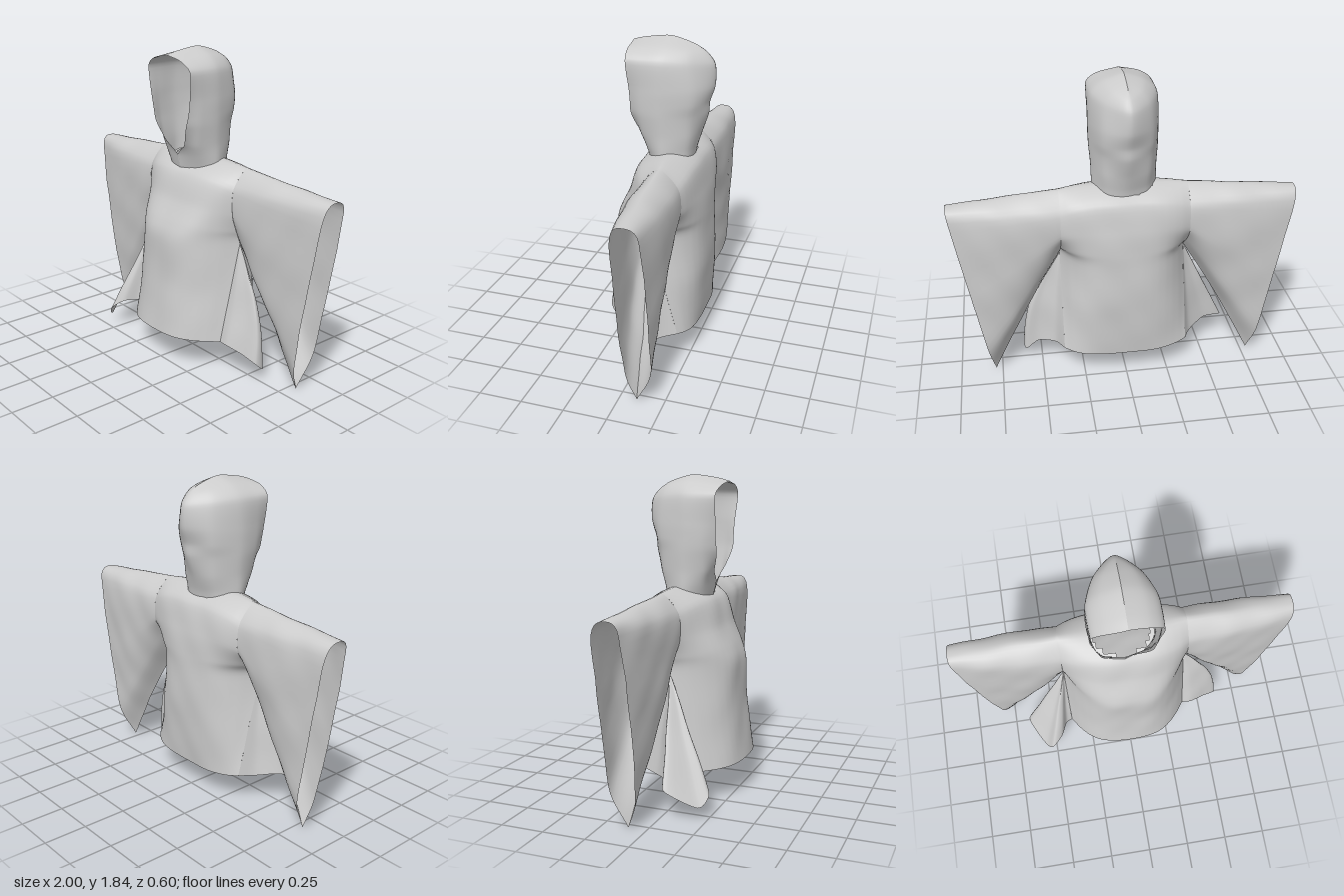
import * as THREE from 'three';

const V = (x, y, z) => new THREE.Vector3(x, y, z);
const cloth = new THREE.MeshStandardMaterial({ color: 0xcccccc, side: THREE.DoubleSide });

// Gentle wrinkles, a function of position
function wrinkle(p, amount) {
  const f = Math.sin(p.x * 13 + p.y * 8) * Math.sin(p.y * 11 - p.x * 5 + 1) + 0.4 * Math.sin(p.x * 27 - p.y * 19);
  p.z += f * amount;
  return p;
}

// Smooth open sheet through rows of control points; cut(p) leaves out faces
function loft(name, rows, { across = 8, down = 8, amount = 0.003, cut = null } = {}) {
  const nu = (rows[0].length - 1) * across;
  const nv = (rows.length - 1) * down;
  const smooth = (pts, n) => new THREE.CatmullRomCurve3(pts, false, 'catmullrom', 0.4).getPoints(n);
  const lines = rows.map((r) => smooth(r, nu));
  const pts = [];
  for (let i = 0; i <= nu; i++) {
    for (const p of smooth(lines.map((l) => l[i]), nv)) pts.push(wrinkle(p, amount));
  }
  const index = [];
  for (let i = 0; i < nu; i++) {
    for (let j = 0; j < nv; j++) {
      const a = i * (nv + 1) + j, b = a + nv + 1;
      const mid = pts[a].clone().add(pts[b + 1]).multiplyScalar(0.5);
      if (cut && cut(mid)) continue;
      index.push(a, b, a + 1, b, b + 1, a + 1);
    }
  }
  const g = new THREE.BufferGeometry().setFromPoints(pts);
  g.setIndex(index);
  g.computeVertexNormals();
  const mesh = new THREE.Mesh(g, cloth);
  mesh.name = name;
  return mesh;
}

// Profiles as [y, z], from the front hem over the shoulder to the back hem
const centre = [[0.21, 0.3], [0.5, 0.26], [0.77, 0.25], [0.87, 0.222], [0.99, 0.16], [1.15, 0.092], [1.22, -0.08],
  [1.15, -0.228], [0.99, -0.268], [0.86, -0.282], [0.77, -0.287], [0.5, -0.293], [0.17, -0.273]];
const side = [[0.2, 0.1], [0.5, 0.026], [0.77, -0.04], [0.85, -0.01], [0.95, 0.02], [1.1, 0.015], [1.205, -0.09],
  [1.1, -0.2], [0.95, -0.212], [0.85, -0.135], [0.77, -0.04], [0.5, -0.115], [0.19, -0.2]];
const cuff = [[0.01, -0.1], [0.2, -0.043], [0.6, -0.03], [1.08, -0.04], [1.15, -0.11],
  [1.08, -0.19], [0.6, -0.2], [0.2, -0.187], [0.01, -0.1]];
const SIDE_X = 0.37;

// Front and back of the body, one section per x
function body() {
  const rows = [];
  for (let i = -8; i <= 8; i++) {
    const a = Math.abs(i / 8);
    rows.push(centre.map(([y, z], k) => {
      const t = a ** (k < 7 ? 3 : 3.5);
      return V((i / 8) * SIDE_X, y + (side[k][0] - y) * t, z + (side[k][1] - z) * t);
    }));
  }
  const neck = (p) => p.y > 1.1 && ((p.x + 0.01) / 0.165) ** 2 + ((p.z + 0.06) / 0.125) ** 2 < 1;
  return loft('body', rows, { across: 6, down: 4, cut: neck });
}

// Wide sleeve, from the armhole to the slanted hanging cuff
function sleeve(s, name) {
  const hole = side.slice(2, 11);
  const rows = [];
  for (let i = 0; i <= 5; i++) {
    const t = i / 5;
    const arc = Math.sin(Math.PI * t);
    rows.push(hole.map(([y, z], k) => {
      const [cy, cz] = cuff[k];
      const cx = 0.79 + 0.21 * (cy - 0.01) / 1.14;
      const seam = k === 0 || k === 8;
      const puff = seam ? 0 : arc * 0.015 * Math.sign(4 - k);
      return V(s * (SIDE_X + (cx - SIDE_X) * t), y + (cy - y) * t + (seam ? 0.025 * arc : 0), z + (cz - z) * t + puff);
    }));
  }
  return loft(name, rows, { across: 6, down: 7, amount: 0.004 });
}

// Flared side panel that falls from the armpit and folds outward at the hem
function sidePanel(s, name, bulge, hem) {
  const rows = [0, 0.2, 0.4, 0.6, 0.8, 1].map((t) => hem.map(([x, y, z]) => {
    const bow = bulge * (x - SIDE_X) * Math.sin(Math.PI * t);
    return V(s * (SIDE_X + (x - SIDE_X) * t + bow), 0.77 + (y - 0.77) * t, -0.04 + (z + 0.04) * t);
  }));
  return loft(name, rows, { across: 5, down: 4 });
}

// Hood rows run from one edge of the face opening round the back to the other.
// Each: heights [edge, side, back], edge [x, z], cheek [x, z], side x, back corner [x, z], back z
const hoodRows = [
  [[1.16, 1.16, 1.16], [0, 0.08], [0.11, 0.05], 0.185, [0.12, -0.16], -0.19],
  [[1.24, 1.23, 1.22], [0, 0.1], [0.13, 0.07], 0.187, [0.12, -0.165], -0.2],
  [[1.31, 1.31, 1.31], [0.08, 0.12], [0.155, 0.08], 0.187, [0.125, -0.18], -0.225],
  [[1.42, 1.42, 1.42], [0.135, 0.15], [0.18, 0.08], 0.193, [0.13, -0.19], -0.265],
  [[1.49, 1.49, 1.49], [0.155, 0.153], [0.187, 0.08], 0.195, [0.135, -0.2], -0.272],
  [[1.58, 1.58, 1.58], [0.17, 0.157], [0.19, 0.08], 0.195, [0.135, -0.2], -0.298],
  [[1.73, 1.73, 1.7], [0.188, 0.165], [0.19, 0.08], 0.182, [0.12, -0.19], -0.295],
  [[1.785, 1.8, 1.76], [0.12, 0.17], [0.12, 0.09], 0.115, [0.08, -0.17], -0.255],
  [[1.81, 1.845, 1.8], [0, 0.17], [0, 0.1], 0, [0, -0.14], -0.2],
];
function hood() {
  const shift = -0.01;
  const rows = hoodRows.map(([[ye, ys, yb], [ex, ez], [cx, cz], sx, [bx, bz], zb]) => {
    const half = [[ex, ye, ez], [cx, (ye + ys) / 2, cz], [sx, ys, -0.04], [bx, (ys + yb) / 2, bz]];
    return [
      ...half.map(([x, y, z]) => V(shift - x, y, z)),
      V(shift, yb, zb),
      ...half.reverse().map(([x, y, z]) => V(shift + x, y, z)),
    ];
  });
  return loft('hood', rows, { across: 6, down: 6, amount: 0.005 });
}

export function createModel() {
  const group = new THREE.Group();
  group.name = 'hoodedCape';
  group.add(
    body(),
    hood(),
    sleeve(1, 'leftSleeve'),
    sleeve(-1, 'rightSleeve'),
    sidePanel(1, 'leftSidePanel', 0.25, [[0.37, 0.2, 0.1], [0.43, 0.2, 0.1], [0.52, 0.17, 0.07], [0.605, 0.13, 0.04],
      [0.6, 0.08, -0.02], [0.52, 0.15, -0.04], [0.42, 0.17, -0.1], [0.37, 0.19, -0.2]]),
    sidePanel(-1, 'rightSidePanel', 0, [[0.37, 0.2, 0.1], [0.41, 0.2, 0.12], [0.45, 0.2, 0.2], [0.52, 0.14, 0.25],
      [0.57, 0.08, 0.2], [0.65, 0.18, 0.04], [0.53, 0.2, -0.01], [0.42, 0.18, -0.1], [0.37, 0.19, -0.2]]),
  );
  return group;
}
